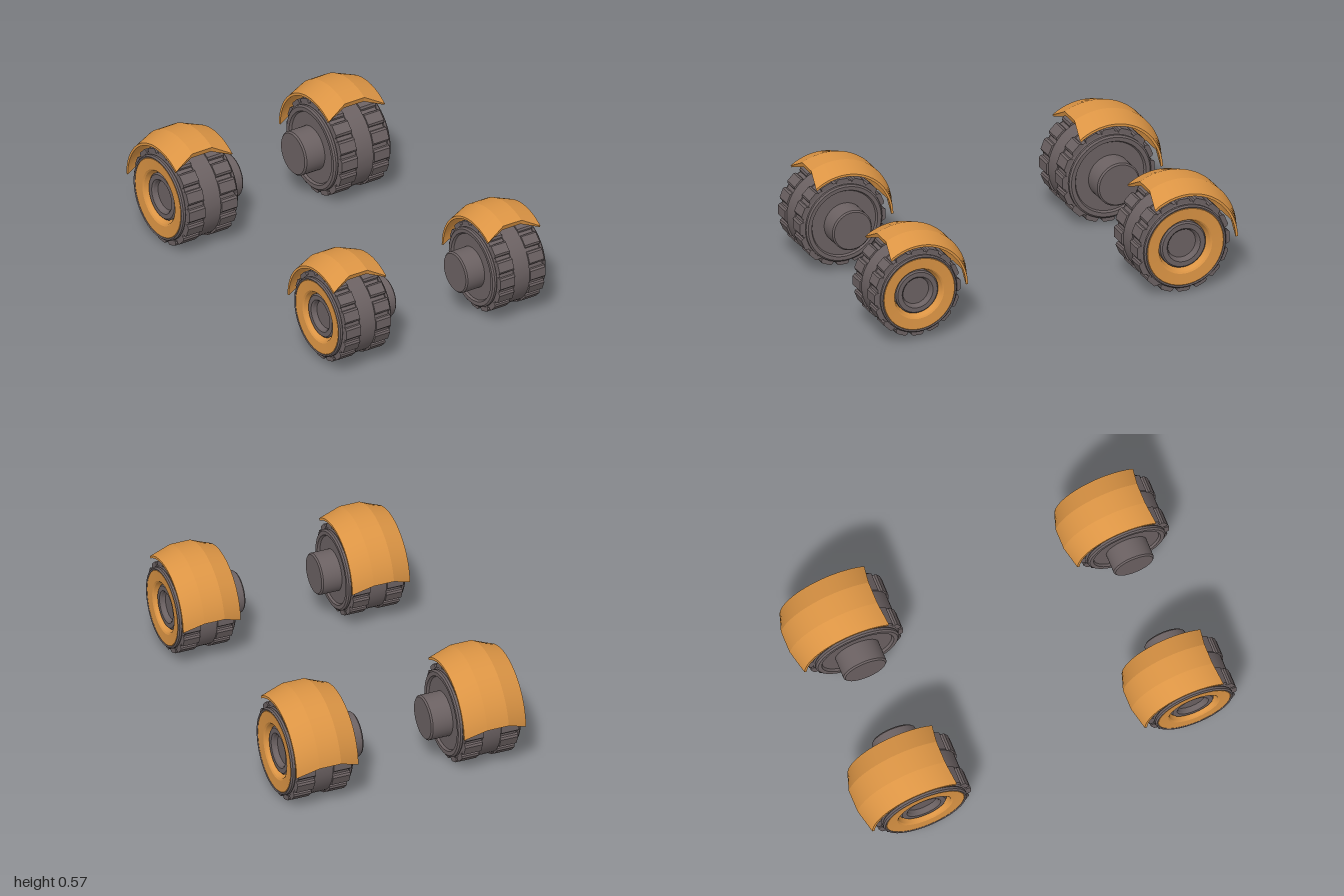
import * as THREE from 'three';
import { mergeGeometries, toCreasedNormals } from 'three/addons/utils/BufferGeometryUtils.js';

const dark = new THREE.MeshStandardMaterial({ color: 0x6b6162 });
const orange = new THREE.MeshStandardMaterial({ color: 0xdb9444 });

function mesh(name, geometry, material) {
  const m = new THREE.Mesh(geometry, material);
  m.name = name;
  return m;
}

// Turned part around the x axis; points are [radius, x] from inner side to outer side
function turned(name, points, material) {
  const geo = new THREE.LatheGeometry(points.map(([r, x]) => new THREE.Vector2(r, x)), 48);
  geo.rotateZ(-Math.PI / 2);
  return mesh(name, toCreasedNormals(geo, 0.5), material);
}

// Two rows of chamfered tread blocks around the tyre
function treadBlocks() {
  const count = 16, width = 0.093, parts = [];
  const shape = new THREE.Shape([[-0.037, 0.225], [0.037, 0.225], [0.035, 0.241], [0.026, 0.25], [-0.026, 0.25], [-0.035, 0.241]]
    .map(([x, y]) => new THREE.Vector2(x, y)));
  for (const start of [-0.142, 0.049]) {
    for (let i = 0; i < count; i++) {
      const g = new THREE.ExtrudeGeometry(shape, { depth: width, bevelEnabled: false });
      g.rotateY(Math.PI / 2).translate(start, 0, 0).rotateX((i / count) * Math.PI * 2);
      parts.push(g);
    }
  }
  return mesh('treadBlocks', mergeGeometries(parts), dark);
}

// Wheel with its outer face towards +x
function wheel() {
  const g = new THREE.Group();
  g.name = 'wheel';
  g.add(turned('tyre', [
    [0, -0.155], [0.185, -0.155], [0.192, -0.167], [0.213, -0.168], [0.222, -0.16], [0.222, -0.148],
    [0.216, -0.142], [0.234, -0.136], [0.234, -0.049], [0.241, -0.049],
    [0.241, 0.049], [0.234, 0.049], [0.234, 0.136], [0.216, 0.142],
    [0.222, 0.148], [0.222, 0.16], [0.215, 0.168], [0.208, 0.165], [0.205, 0.1], [0, 0.1],
  ], dark));
  g.add(treadBlocks());
  g.add(turned('rimRing', [
    [0.12, 0.1], [0.207, 0.1], [0.21, 0.16], [0.205, 0.165], [0.147, 0.161], [0.139, 0.155], [0.128, 0.125], [0.12, 0.1],
  ], orange));
  g.add(turned('hub', [
    [0, 0.09], [0.123, 0.09], [0.123, 0.135], [0.115, 0.143], [0.09, 0.143], [0.082, 0.136], [0.076, 0.115], [0, 0.115],
  ], dark));
  g.add(turned('axle', [
    [0, -0.269], [0.107, -0.269], [0.115, -0.261], [0.115, -0.15], [0, -0.15],
  ], dark));
  return g;
}

// Crowned fender swept round the wheel; each section point is [x, radius, start angle, end angle]
function fender() {
  const half = [[0.166, 0.284, -36, 89], [0.058, 0.325, -27, 80]];
  const inner = [[0.166, 0.271, -36, 89], [0.058, 0.298, -28, 81]];
  const flip = ([x, ...rest]) => [-x, ...rest];
  const loop = [
    ...half.map(flip), half[1], half[0],
    ...inner, flip(inner[1]), flip(inner[0]),
  ];
  const steps = 28, n = loop.length, positions = [], index = [];
  for (let i = 0; i <= steps; i++) {
    for (const [x, r, a0, a1] of loop) {
      const a = THREE.MathUtils.degToRad(THREE.MathUtils.lerp(a0, a1, i / steps));
      positions.push(x, r * Math.cos(a), -r * Math.sin(a));
    }
  }
  const quad = (a, b, c, d) => index.push(a, b, c, a, c, d);
  for (let i = 0; i < steps; i++) {
    for (let j = 0; j < n; j++) {
      const k = (j + 1) % n;
      quad(i * n + j, i * n + k, (i + 1) * n + k, (i + 1) * n + j);
    }
  }
  // End caps
  const e = steps * n;
  for (let j = 0; j < 3; j++) {
    quad(j + 1, j, n - 1 - j, n - 2 - j);
    quad(e + j, e + j + 1, e + n - 2 - j, e + n - 1 - j);
  }
  const geo = new THREE.BufferGeometry();
  geo.setAttribute('position', new THREE.Float32BufferAttribute(positions, 3));
  geo.setIndex(index);
  return mesh('fender', toCreasedNormals(geo, 0.3), orange);
}

export function createModel() {
  const model = new THREE.Group();
  model.name = 'wheelSet';
  const places = [
    ['frontLeftWheel', 0.447, 0.262, 0.767, 0.93],
    ['frontRightWheel', -0.462, 0.262, 0.762, 0.93],
    ['backLeftWheel', 0.451, 0.252, -0.67, 1],
    ['backRightWheel', -0.451, 0.252, -0.67, 1],
  ];
  for (const [name, x, y, z, size] of places) {
    const unit = new THREE.Group();
    unit.name = name;
    const w = wheel();
    if (x < 0) w.rotation.y = Math.PI;
    unit.add(w, fender());
    unit.position.set(x, y, z);
    unit.scale.setScalar(size);
    model.add(unit);
  }
  return model;
}
